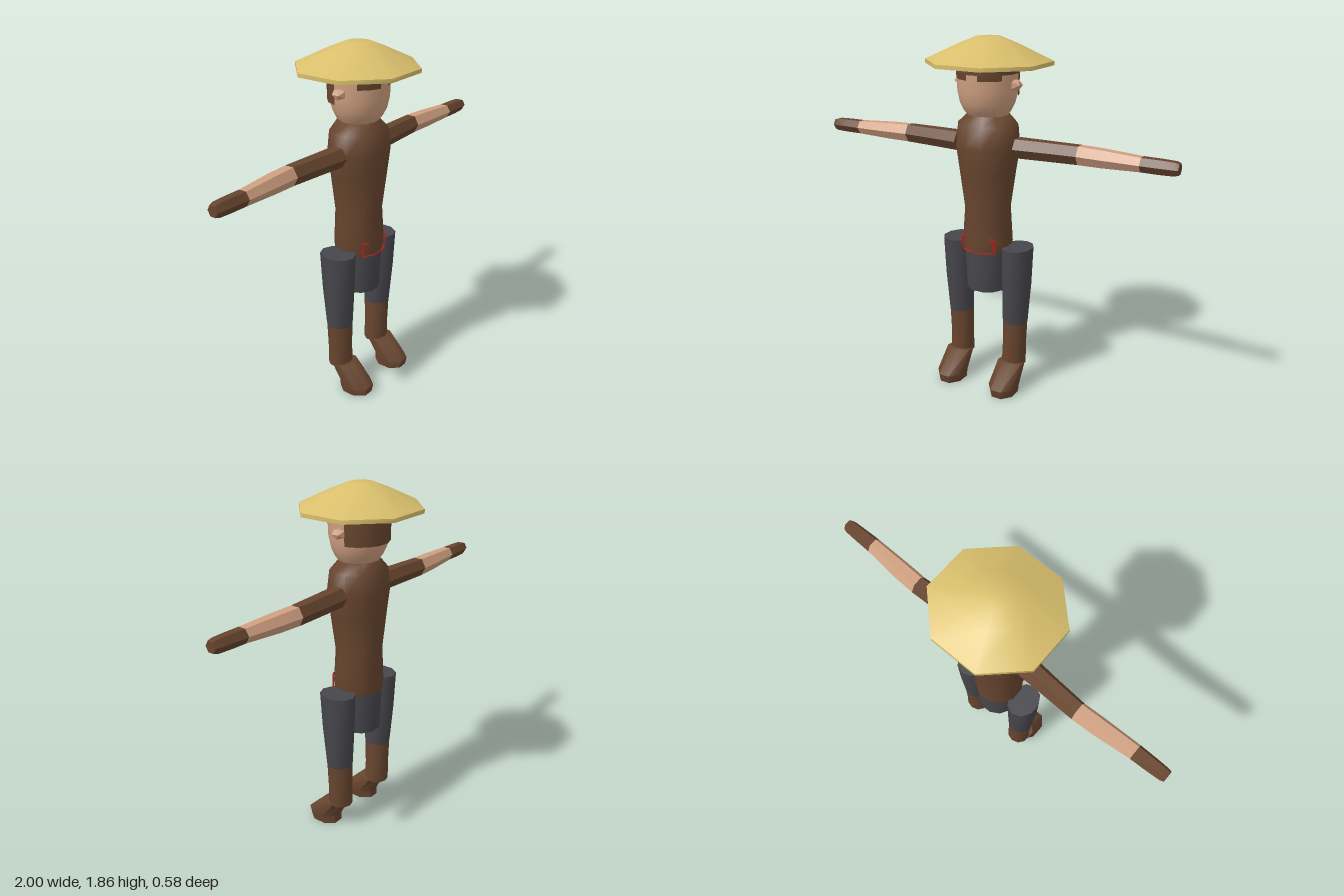
import * as THREE from 'three';
import { toCreasedNormals } from 'three/addons/utils/BufferGeometryUtils.js';

const mat = (name, color, side = THREE.FrontSide) => {
  const m = new THREE.MeshStandardMaterial({ color, side });
  m.name = name;
  return m;
};

// Loft of elliptical n-gons up the y axis; each section is [y, rx, rz, cx, cz].
// Passing from/to sides makes an open strip; a full turn is capped.
function loft(sections, n, from = 0, to = n) {
  const out = [];
  const grow = 1 / Math.cos(Math.PI / n);
  const p = (s, i) => {
    const a = ((i + 0.5) / n) * Math.PI * 2;
    const [y, rx, rz, cx = 0, cz = 0] = s;
    return [cx + rx * grow * Math.cos(a), y, cz + rz * grow * Math.sin(a)];
  };
  const centre = ([y, , , cx = 0, cz = 0]) => [cx, y, cz];
  const first = sections[0], last = sections[sections.length - 1];
  for (let i = from; i < to; i++) {
    for (let j = 0; j < sections.length - 1; j++) {
      const a = sections[j], b = sections[j + 1];
      out.push(...p(a, i), ...p(b, i), ...p(a, i + 1));
      out.push(...p(b, i), ...p(b, i + 1), ...p(a, i + 1));
    }
    if (to - from === n) {
      out.push(...centre(first), ...p(first, i), ...p(first, i + 1));
      out.push(...centre(last), ...p(last, i + 1), ...p(last, i));
    }
  }
  const g = new THREE.BufferGeometry();
  g.setAttribute('position', new THREE.Float32BufferAttribute(out, 3));
  return toCreasedNormals(g, 0.87);
}

export function createModel() {
  const model = new THREE.Group();
  const brown = mat('brown cloth', 0x67452e);
  const hairMat = mat('brown hair', 0x67452e, THREE.DoubleSide);
  const skin = mat('skin', 0xd0a081);
  const grey = mat('dark grey trousers', 0x47464c);
  const straw = mat('straw', 0xd9bf6c);
  const red = mat('red trim', 0xa52a22);

  const add = (name, geometry, material, x = 0, y = 0, z = 0) => {
    const m = new THREE.Mesh(geometry, material);
    m.name = name;
    m.position.set(x, y, z);
    model.add(m);
    return m;
  };

  // Wide octagonal hat
  add('hat', loft([
    [1.725, 0.3, 0.29], [1.745, 0.3, 0.29], [1.825, 0.14, 0.135], [1.86, 0.06, 0.055],
  ], 8), straw);

  // Head and hair
  add('head', loft([
    [1.46, 0.09, 0.08, 0, 0.01], [1.5, 0.12, 0.115, 0, 0.012], [1.54, 0.138, 0.135, 0, 0.012],
    [1.6, 0.15, 0.15, 0, 0.01], [1.73, 0.152, 0.153, 0, 0.01],
  ], 16), skin);
  add('hairBand', loft([
    [1.688, 0.155, 0.157, 0, 0.01], [1.732, 0.155, 0.157, 0, 0.01],
  ], 16), brown);
  const hairStrip = (name, low, from, to) => add(name, loft([
    [low, 0.153, 0.154, 0, 0.01], [1.7, 0.155, 0.157, 0, 0.01],
  ], 16, from, to), hairMat);
  hairStrip('backHair', 1.575, 8, 15);
  hairStrip('leftFringe', 1.66, 1, 3);
  hairStrip('rightFringe', 1.66, 4, 6);

  // Tunic and hips
  add('torso', loft([
    [0.77, 0.122, 0.122, 0, 0.012], [0.82, 0.132, 0.124, 0, 0.012], [1.0, 0.117, 0.12, 0, 0.01],
    [1.2, 0.146, 0.138, 0, 0.012], [1.32, 0.166, 0.148, 0, 0.012],
    [1.43, 0.156, 0.135, 0, 0.01], [1.48, 0.105, 0.1, 0, 0.005],
  ], 12), brown);
  add('hips', loft([
    [0.55, 0.108, 0.11, 0, 0.01], [0.775, 0.118, 0.118, 0, 0.01],
  ], 12), grey);

  // Red trim at the waist, following the curve of the tunic
  const trim = (name, w, h, x, y, z, turn = 0) => {
    add(name, new THREE.BoxGeometry(w, h, 0.008), red, x, y, z).rotation.y = turn;
  };
  trim('waistLine', 0.07, 0.006, 0, 0.772, 0.135);

  for (const s of [1, -1]) {
    const side = s > 0 ? 'left' : 'right';
    trim(side + 'WaistLine', 0.065, 0.006, s * 0.062, 0.772, 0.122, s * 0.5);
    trim(side + 'WaistBar', 0.016, 0.075, s * 0.095, 0.812, 0.109, s * 0.72);
    trim(side + 'WaistTick', 0.024, 0.012, s * 0.08, 0.846, 0.119, s * 0.6);

    // Ear
    const ear = add(side + 'Ear', toCreasedNormals(new THREE.IcosahedronGeometry(1, 0), 0.1),
      skin, s * 0.155, 1.635, 0.01);
    ear.scale.set(0.037, 0.03, 0.038);

    // Arm: six-sided sleeve, forearm and hand, lofted upright and laid sideways
    const arm = (name, sections, material) => {
      const g = loft(sections, 6);
      g.rotateZ(-s * Math.PI / 2);
      add(side + name, g, material, 0, 1.324, 0);
    };
    arm('Sleeve', [
      [0.17, 0.048, 0.052, 0, 0.008], [0.3, 0.047, 0.047, 0, 0], [0.5, 0.045, 0.043, 0, -0.01],
    ], brown);
    arm('Forearm', [
      [0.5, 0.045, 0.043, 0, -0.01], [0.62, 0.043, 0.043, 0, -0.005], [0.82, 0.034, 0.036, 0, 0.007],
    ], skin);
    arm('Hand', [
      [0.82, 0.034, 0.036, 0, 0.007], [0.91, 0.034, 0.034, 0, 0.008],
      [0.98, 0.032, 0.031, 0, 0.009], [1.0, 0.026, 0.026, 0, 0.01],
    ], brown);

    // Leg
    add(side + 'Thigh', loft([
      [0.38, 0.064, 0.066, s * 0.168, 0.01], [0.6, 0.073, 0.083, s * 0.175, 0.01],
      [0.8, 0.077, 0.094, s * 0.178, 0.01],
    ], 10), grey);
    add(side + 'Shin', loft([
      [0.135, 0.063, 0.061, s * 0.163, 0.01], [0.24, 0.06, 0.061, s * 0.165, 0.01],
      [0.38, 0.063, 0.065, s * 0.168, 0.01],
    ], 10), brown);
    const foot = loft([
      [0, 0.066, 0.085, s * 0.163, 0.115], [0.045, 0.072, 0.09, s * 0.163, 0.12],
      [0.147, 0.068, 0.058, s * 0.163, 0.038],
    ], 8);
    // Tilt the top of the foot up towards the toe
    const pos = foot.attributes.position;
    for (let i = 0; i < pos.count; i++) {
      if (pos.getY(i) > 0.1) pos.setY(i, 0.147 + (pos.getZ(i) - 0.038) * 0.14);
    }
    add(side + 'Foot', foot, brown);
    trim(side + 'AnkleMark', 0.03, 0.006, s * 0.165, 0.205, 0.07);
  }
  return model;
}
